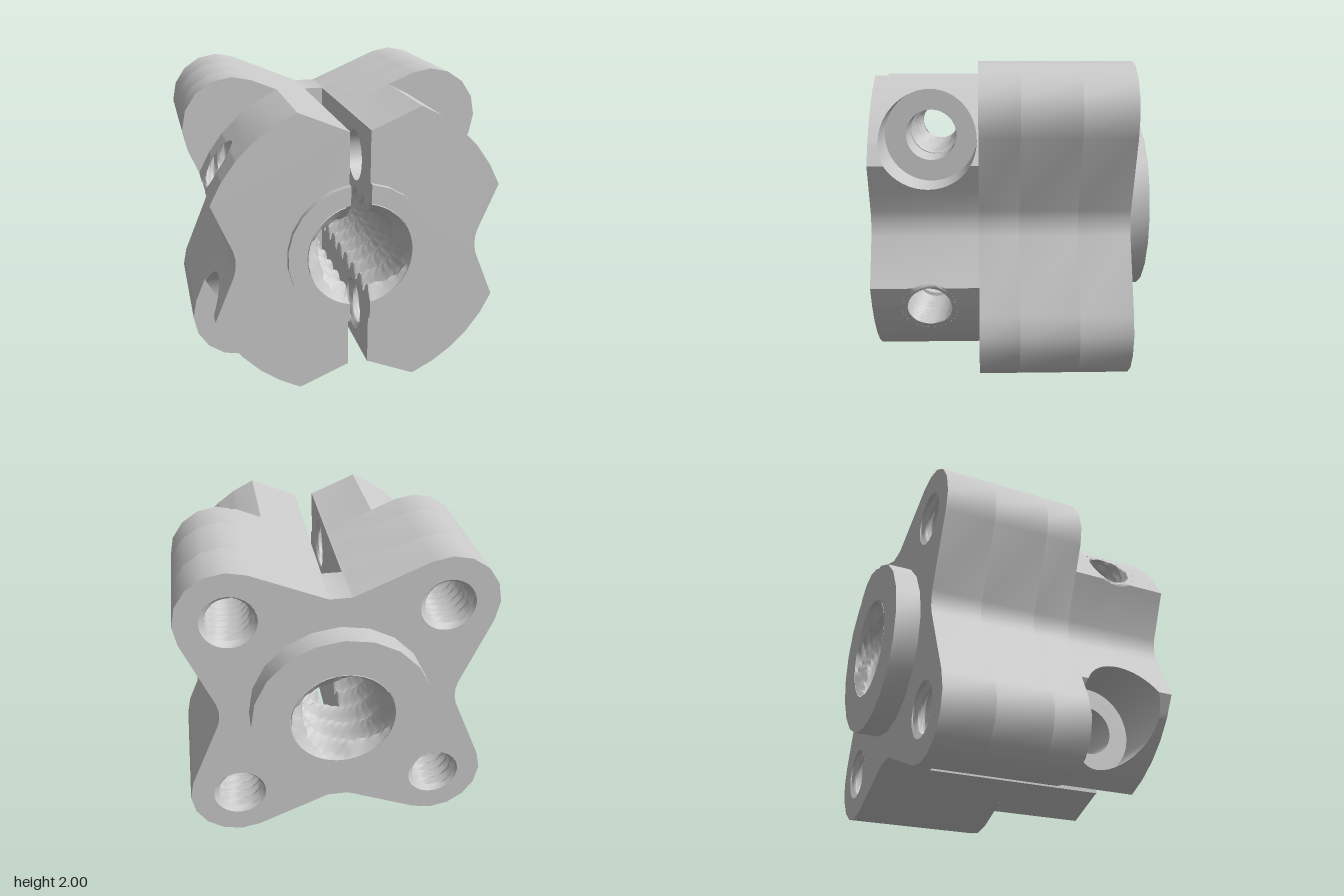
import * as THREE from 'three';
import { toCreasedNormals, mergeVertices } from 'three/addons/utils/BufferGeometryUtils.js';

const V = (x, y) => new THREE.Vector2(x, y);
const solid = new THREE.MeshStandardMaterial({ color: 0xcccccc });
const sheet = new THREE.MeshStandardMaterial({ color: 0xcccccc, side: THREE.DoubleSide });

// z stations, slot half width, radii
const BACK = -0.75, SLOT_END = -0.42, HOLE_END = -0.05, STEP = 0.2, FRONT = 0.87, TIP = 0.91;
const SLOT = 0.065, BORE = 0.335, LOBE = 0.67, LOBE_R = 0.33, FRONT_R = 0.982;
const SCREW_Y = 0.525, SCREW_Z = 0.51, SCREW_MINOR = 0.14, SCREW_MAJOR = 0.175;
const CLEAR_R = 0.165, HEAD_R = 0.3, HEAD_FLOOR = 0.45;

const arc = (cx, cy, r, a0, a1, n) => Array.from({ length: n + 1 }, (_, i) => {
  const a = a0 + (a1 - a0) * i / n;
  return V(cx + r * Math.cos(a), cy + r * Math.sin(a));
});
const rad = THREE.MathUtils.degToRad;

// Right half of an outline, top to bottom, from the curve of one corner
function halfOutline(corner) {
  const q = [V(SLOT, 0.776), V(0.08, 0.78), ...corner, V(0.78, 0.08), V(0.769, 0.03)];
  return [...q, ...q.slice().reverse().map(p => V(p.x, -p.y))];
}
const starHalf = halfOutline(arc(LOBE, LOBE, LOBE_R, rad(112.5), rad(-22.5), 6));
const frontHalf = halfOutline(arc(0, 0, FRONT_R, rad(67.3), rad(22.7), 5));

const circlePath = (x, y, r, n = 32) => new THREE.Path(arc(x, y, r, 0, Math.PI * 2, n).slice(0, -1));
const slotAngle = r => Math.acos(SLOT / r);
const boreArc = () => arc(0, 0, BORE, -slotAngle(BORE), slotAngle(BORE), 24);
const halfShape = outline => new THREE.Shape([...outline, ...boreArc()]);

function add(group, name, geometry, material = solid) {
  const mesh = new THREE.Mesh(geometry, material);
  mesh.name = name;
  group.add(mesh);
  return mesh;
}
function extrude(shape, z0, z1) {
  const g = new THREE.ExtrudeGeometry(shape, { depth: z1 - z0, bevelEnabled: false, curveSegments: 24 });
  return toCreasedNormals(g.translate(0, 0, z0), 0.6);
}

// Internal thread along z; ends marked "flare" open out to the full radius
function thread({ z0, z1, minor, major, pitch, starts = 1, cols = 28, flare0, flare1, half, shift }) {
  const rows = Math.ceil((z1 - z0) / pitch * 8), pos = [], index = [];
  const limit = half ? slotAngle(major) : Math.PI;
  const edge = BORE * Math.sin(slotAngle(BORE));
  const width = cols + 1 + (half ? 2 : 0);
  for (let i = 0; i <= rows; i++) {
    const z = z0 + (z1 - z0) * i / rows;
    if (half) pos.push(SLOT, -edge, z);
    for (let j = 0; j <= cols; j++) {
      const a = -limit + 2 * limit * j / cols;
      const t = THREE.MathUtils.euclideanModulo(z / pitch - starts * a / (2 * Math.PI), 1);
      const wave = THREE.MathUtils.clamp(2 * Math.abs(2 * t - 1) - 0.5, 0, 1);
      let r = minor + (major - minor) * wave;
      if (flare0) r = Math.max(r, major - (z - z0) * 1.2);
      if (flare1) r = Math.max(r, major - (z1 - z) * 1.2);
      const x = r * Math.cos(a);
      pos.push(half ? Math.max(SLOT, x) : x, r * Math.sin(a), z);
    }
    if (half) pos.push(SLOT, edge, z);
  }
  for (let i = 0; i < rows; i++) for (let j = 0; j < width - 1; j++) {
    const a = i * width + j, b = a + 1, c = a + width, d = c + 1;
    index.push(a, c, b, b, c, d);
  }
  const g = new THREE.BufferGeometry();
  g.setAttribute('position', new THREE.Float32BufferAttribute(pos, 3));
  g.setIndex(index);
  if (shift) shift(g);
  return toCreasedNormals(mergeVertices(g), 0.9);
}

// x of the front block's outer wall at height y
const wallPts = frontHalf.slice(2, -2);
function wallX(y) {
  for (let i = 0; i < wallPts.length - 1; i++) {
    const p = wallPts[i], q = wallPts[i + 1];
    if (y <= p.y && y >= q.y) return p.x + (q.x - p.x) * (p.y - y) / (p.y - q.y || 1);
  }
  return wallPts[0].x;
}

// Outer wall of the front block with the screw openings, plus the head recess
function sideWall() {
  const holes = [{ y: SCREW_Y, r: HEAD_R, recess: true }, { y: -SCREW_Y, r: SCREW_MAJOR }];
  const ys = wallPts.map(p => p.y);
  for (const h of holes) for (let i = 0; i <= 24; i++) ys.push(h.y - h.r * Math.cos(Math.PI * i / 24));
  ys.sort((a, b) => a - b);
  const pos = [];
  const quad = (a, b, c, d) => pos.push(...a, ...b, ...c, ...a, ...c, ...d);
  for (let i = 0; i < ys.length - 1; i++) {
    const y0 = ys[i], y1 = ys[i + 1], x0 = wallX(y0), x1 = wallX(y1);
    if (y1 - y0 < 1e-6) continue;
    const hole = holes.find(h => Math.abs((y0 + y1) / 2 - h.y) < h.r);
    const gap = y => hole ? Math.sqrt(Math.max(0, hole.r ** 2 - (y - hole.y) ** 2)) : 0;
    const h0 = gap(y0), h1 = gap(y1), c = SCREW_Z;
    quad([x0, y0, c - h0], [x0, y0, STEP], [x1, y1, STEP], [x1, y1, c - h1]);
    quad([x0, y0, FRONT], [x0, y0, c + h0], [x1, y1, c + h1], [x1, y1, FRONT]);
    if (hole && hole.recess) {
      const f = HEAD_FLOOR;
      quad([f, y0, c - h0], [x0, y0, c - h0], [x1, y1, c - h1], [f, y1, c - h1]);
      quad([x0, y0, c + h0], [f, y0, c + h0], [f, y1, c + h1], [x1, y1, c + h1]);
    }
  }
  // sloping top and bottom next to the slot
  for (const s of [1, -1]) for (let i = 0; i < 2; i++) {
    const p = frontHalf[i], q = frontHalf[i + 1];
    const a = [p.x, s * p.y, FRONT], b = [q.x, s * q.y, FRONT];
    const c = [q.x, s * q.y, STEP], d = [p.x, s * p.y, STEP];
    s > 0 ? quad(a, b, c, d) : quad(d, c, b, a);
  }
  const g = new THREE.BufferGeometry();
  g.setAttribute('position', new THREE.Float32BufferAttribute(pos, 3));
  return toCreasedNormals(g, 0.5);
}

const boreThread = { minor: 0.25, major: 0.33, pitch: 0.18, starts: 4 };

// One clamping half, on the +x side of the slot
function clampHalf() {
  const half = new THREE.Group();
  const drilled = halfShape(starHalf);
  for (const s of [1, -1]) drilled.holes.push(circlePath(LOBE, s * LOBE, SCREW_MAJOR));
  add(half, 'lobesDrilled', extrude(drilled, SLOT_END, HOLE_END));
  add(half, 'lobesFront', extrude(halfShape(starHalf), HOLE_END, STEP));
  add(half, 'frontFace', new THREE.ShapeGeometry(halfShape(frontHalf)).translate(0, 0, FRONT), sheet);
  add(half, 'frontSideWall', sideWall(), sheet);

  // front collar
  const a = slotAngle(0.455);
  const collar = halfShape(arc(0, 0, 0.455, a, -a, 11));
  add(half, 'frontCollar', extrude(collar, FRONT, TIP));

  // slot faces pierced by the clamp screws
  const inner = BORE * Math.sin(slotAngle(BORE));
  for (const [s, r] of [[1, CLEAR_R], [-1, SCREW_MAJOR]]) {
    const face = new THREE.Shape([V(STEP, s * inner), V(FRONT, s * inner), V(FRONT, s * 0.776), V(STEP, s * 0.776)]);
    face.holes.push(circlePath(SCREW_Z, s * SCREW_Y, r));
    add(half, 'slotFace', new THREE.ShapeGeometry(face).rotateY(-Math.PI / 2).translate(SLOT, 0, 0), sheet);
  }

  // screw head seat and clearance hole
  const seat = new THREE.Shape(arc(0, 0, HEAD_R, 0, Math.PI * 2, 48).slice(0, -1));
  seat.holes.push(circlePath(0, 0, CLEAR_R));
  add(half, 'screwSeat', new THREE.ShapeGeometry(seat).rotateY(Math.PI / 2).translate(HEAD_FLOOR, SCREW_Y, SCREW_Z), sheet);
  const clearance = new THREE.CylinderGeometry(CLEAR_R, CLEAR_R, HEAD_FLOOR - SLOT, 32, 1, true);
  add(half, 'clearanceHole', clearance.rotateZ(Math.PI / 2).translate((HEAD_FLOOR + SLOT) / 2, SCREW_Y, SCREW_Z), sheet);

  // threaded clamp hole, trimmed to the outer wall
  add(half, 'clampThread', thread({
    z0: SLOT, z1: 0.93, minor: SCREW_MINOR, major: SCREW_MAJOR, pitch: 0.075, flare0: true,
    shift: g => {
      g.rotateY(Math.PI / 2).translate(0, -SCREW_Y, SCREW_Z);
      const p = g.attributes.position;
      for (let i = 0; i < p.count; i++) p.setX(i, Math.min(p.getX(i), wallX(p.getY(i))));
    },
  }), sheet);
  add(half, 'boreThreadHalf', thread({ ...boreThread, z0: SLOT_END, z1: TIP, cols: 36, flare1: true, half: true }), sheet);
  return half;
}

export function createModel() {
  const model = new THREE.Group();
  model.name = 'clampingNutBlock';
  const body = new THREE.Group();
  body.name = 'body';
  body.position.y = 1;
  model.add(body);

  // unslotted back slab and round back boss
  const star = new THREE.Shape([...starHalf, ...starHalf.slice().reverse().map(p => V(-p.x, p.y))]);
  star.holes.push(circlePath(0, 0, BORE, 48));
  for (const sx of [1, -1]) for (const sy of [1, -1]) {
    star.holes.push(circlePath(sx * LOBE, sy * LOBE, SCREW_MAJOR));
    // blind threaded mounting holes
    const hole = add(body, 'mountingThread', thread({
      z0: BACK, z1: HOLE_END, minor: SCREW_MINOR, major: SCREW_MAJOR, pitch: 0.075, flare0: true,
    }), sheet);
    hole.position.set(sx * LOBE, sy * LOBE, 0);
  }
  add(body, 'backSlab', extrude(star, BACK, SLOT_END));
  const boss = new THREE.Shape(arc(0, 0, 0.58, 0, Math.PI * 2, 20).slice(0, -1));
  boss.holes.push(circlePath(0, 0, BORE, 48));
  add(body, 'backBoss', extrude(boss, -TIP, BACK));
  add(body, 'boreThreadBack', thread({ ...boreThread, z0: -TIP, z1: SLOT_END, cols: 72, flare0: true }), sheet);

  // the two halves are the same part turned half a turn
  const right = clampHalf();
  right.name = 'clampHalfRight';
  const left = right.clone();
  left.name = 'clampHalfLeft';
  left.rotation.z = Math.PI;
  right.name = 'clampHalf';
  left.name = 'clampHalfTurned';
  body.add(right, left);
  return model;
}
